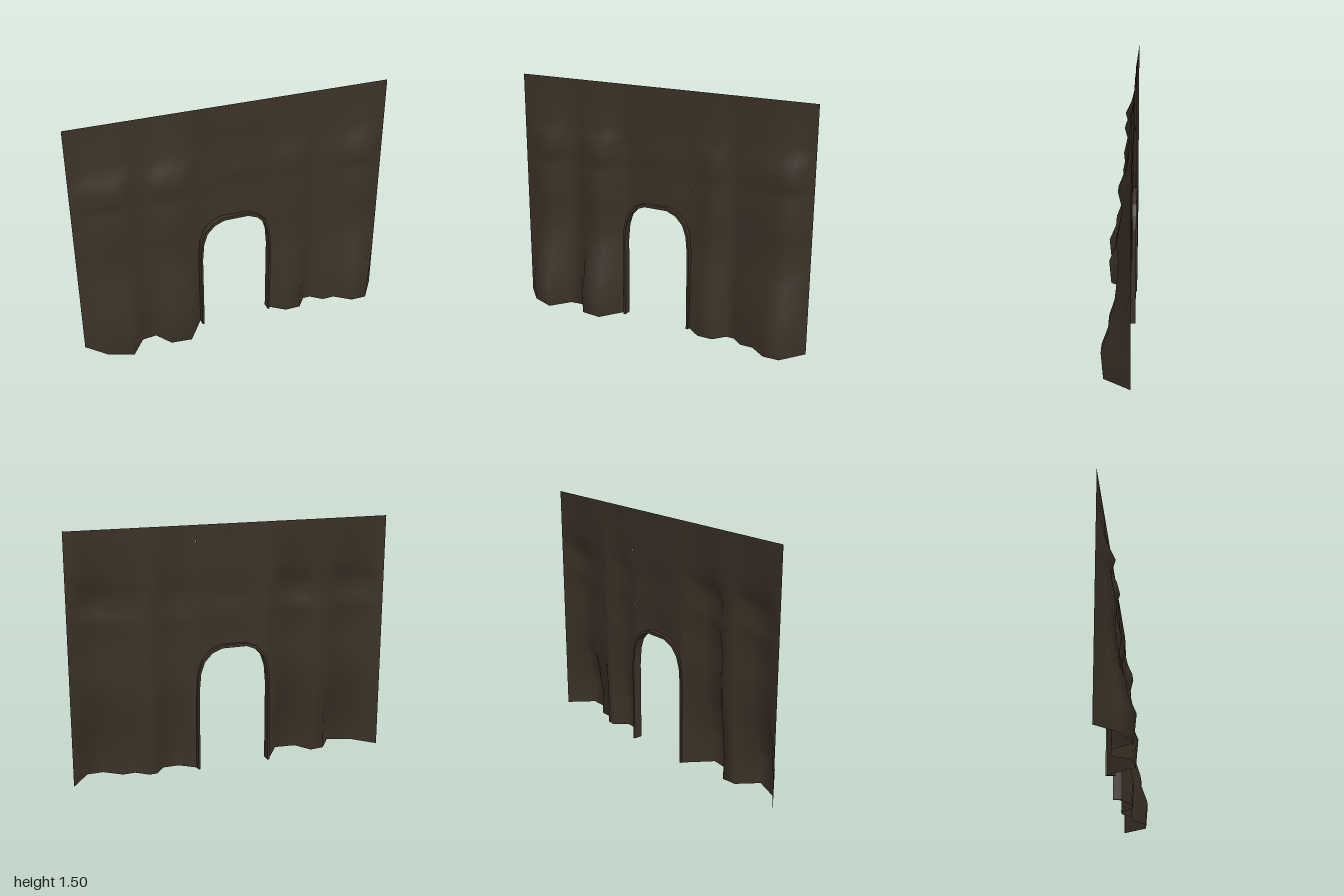
import * as THREE from 'three';

// Fold depth of the rock face along x, measured at the foot: [x, z]
const FOLDS = [[-1, -0.09], [-0.88, 0.04], [-0.73, 0.1], [-0.64, -0.03], [-0.55, -0.04], [-0.48, 0.07],
  [-0.35, 0.085], [-0.235, -0.09], [-0.1, -0.07], [0, -0.05], [0.12, -0.05], [0.235, -0.065], [0.33, 0.01],
  [0.43, 0.01], [0.49, -0.07], [0.54, -0.07], [0.61, -0.01], [0.69, -0.01], [0.79, 0.07], [0.89, 0.07], [1, -0.09]];
// How strongly the folds stand out at each height: [y, factor]
const FADE = [[0, 0.95], [0.16, 1.03], [0.27, 0.79], [0.34, 0.76], [0.43, 0.58], [0.55, 0.5], [0.7, 0.44],
  [0.8, 0.5], [0.93, 0.35], [1, 0.32], [1.08, 0.44], [1.16, 0.24], [1.25, 0.12], [1.4, 0.08], [1.5, 0]];
// Right half of the doorway outline, from the foot to the crown
const ARCH = [[0.222, 0], [0.222, 0.5], [0.212, 0.61], [0.188, 0.68], [0.14, 0.73], [0.078, 0.755]];
const ARCH_OUT = [[0.235, 0], [0.235, 0.5], [0.226, 0.615], [0.2, 0.692], [0.148, 0.746], [0.082, 0.774]];
const BACK = -0.09, TOP = 1.5;

function sample(table, v) {
  const last = table.length - 1;
  if (v <= table[0][0]) return table[0][1];
  for (let i = 0; i < last; i++) {
    const [a, p] = table[i], [b, q] = table[i + 1];
    if (v <= b) return p + (q - p) * (v - a) / (b - a);
  }
  return table[last][1];
}
const depth = (x, y) => BACK + (sample(FOLDS, x) - BACK) * sample(FADE, y);

// Sheet over the given columns; each column runs from bottom(x) to the top
function sheet(xs, bottom) {
  const pos = [], nor = [], index = [], h = 0.03;
  const n = new THREE.Vector3();
  const rowsAt = x => {
    const b = bottom(x);
    return FADE.map(([y]) => b + (TOP - b) * y / TOP);
  };
  xs.forEach(x => rowsAt(x).forEach(y => {
    pos.push(x, y, depth(x, y));
    n.set(-(depth(x + h, y) - depth(x - h, y)) / (2 * h),
      -(depth(x, y + h) - depth(x, y - h)) / (2 * h), 1).normalize();
    nor.push(n.x, n.y, n.z);
  }));
  const rows = FADE.length;
  for (let i = 0; i < xs.length - 1; i++) for (let j = 0; j < rows - 1; j++) {
    const a = i * rows + j, b = a + rows;
    index.push(a, b, b + 1, a, b + 1, a + 1);
  }
  const g = new THREE.BufferGeometry();
  g.setAttribute('position', new THREE.Float32BufferAttribute(pos, 3));
  g.setAttribute('normal', new THREE.Float32BufferAttribute(nor, 3));
  g.setIndex(index);
  return g;
}

export function createModel() {
  const model = new THREE.Group();
  model.name = 'rockWallWithDoorway';
  const rock = new THREE.MeshStandardMaterial({ color: 0x3b3126 });
  rock.name = 'darkBrownRock';
  rock.side = THREE.DoubleSide;
  const add = (name, geometry) => {
    const mesh = new THREE.Mesh(geometry, rock);
    mesh.name = name;
    model.add(mesh);
    return mesh;
  };

  // Folded rock on both sides of the doorway
  const columns = FOLDS.map(p => p[0]);
  add('rightRockFace', sheet(columns.filter(x => x <= -0.235), () => 0));
  add('leftRockFace', sheet(columns.filter(x => x >= 0.235), () => 0));

  // Rock above the doorway, following the arch
  const half = ARCH_OUT.slice(1);
  const middle = [...half.map(p => -p[0]), 0, ...half.map(p => p[0])].sort((a, b) => a - b);
  const crown = half.slice().reverse();
  add('rockAboveDoorway', sheet(middle, x => sample(crown, Math.abs(x))));

  // Thin lining around the doorway
  const mirror = pts => pts.map(([x, y]) => [-x, y]).reverse();
  const outline = [...ARCH_OUT, ...mirror(ARCH_OUT), ...ARCH.map(([x, y]) => [-x, y]), ...ARCH.slice().reverse()];
  const shape = new THREE.Shape(outline.map(([x, y]) => new THREE.Vector2(x, y)));
  const lining = add('doorwayLining', new THREE.ExtrudeGeometry(shape, { depth: 0.055, bevelEnabled: false }));
  lining.position.z = -0.1;
  return model;
}
